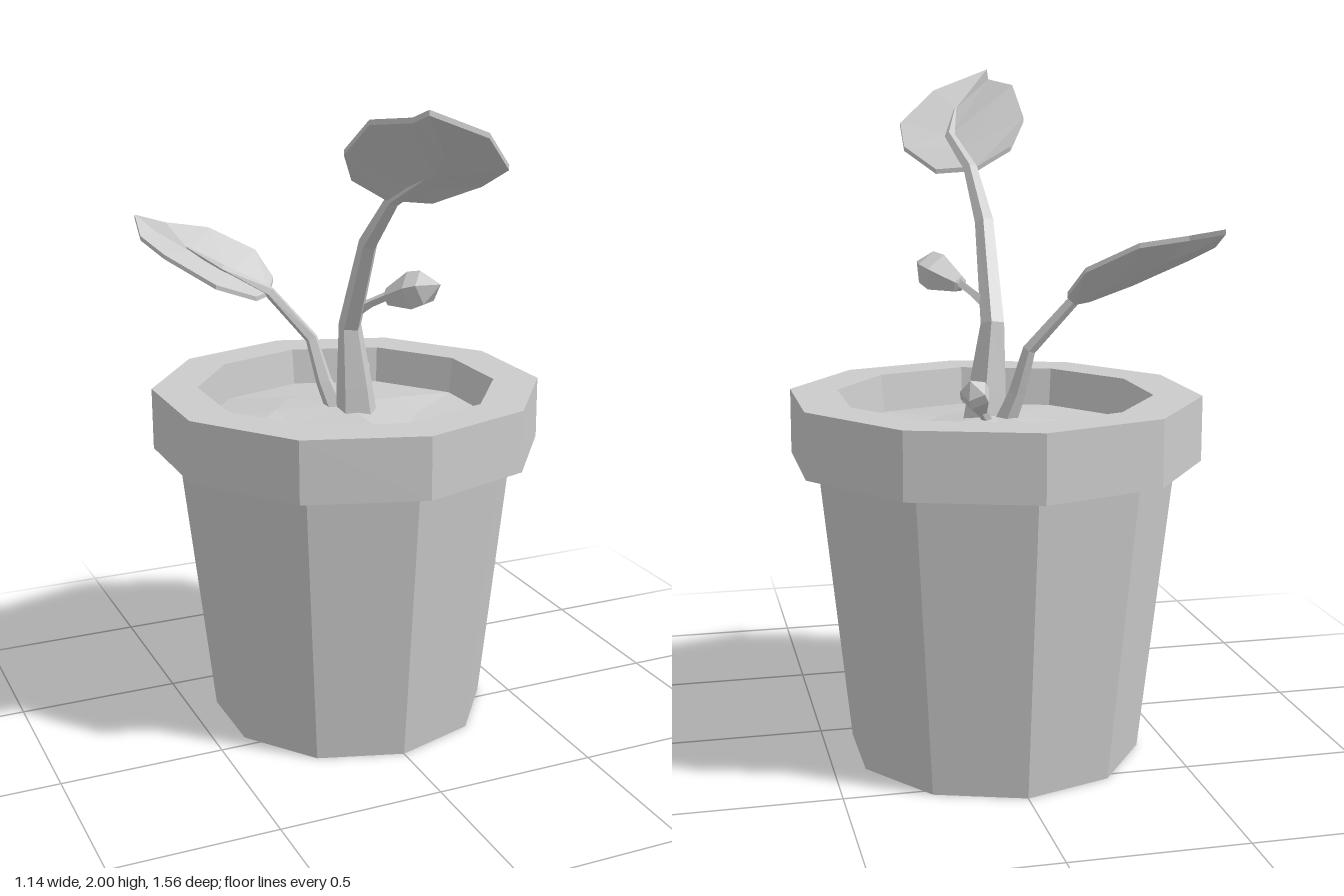
import * as THREE from 'three';

const material = new THREE.MeshStandardMaterial({ color: 0xcccccc, flatShading: true });
const V = (p) => new THREE.Vector3(p[0], p[1], p[2]);

function addMesh(parent, name, geometry) {
  const mesh = new THREE.Mesh(geometry, material);
  mesh.name = name;
  parent.add(mesh);
  return mesh;
}

function fromIndexed(positions, index) {
  const g = new THREE.BufferGeometry();
  g.setAttribute('position', new THREE.Float32BufferAttribute(positions, 3));
  g.setIndex(index);
  g.computeVertexNormals();
  return g;
}

// Faceted stalk through [x, y, z, radius] points, closed at both ends
function stalk(points, sides = 5) {
  const positions = [], index = [];
  const centres = points.map(V);
  const n = points.length;
  centres.forEach((c, i) => {
    const dir = centres[Math.min(i + 1, n - 1)].clone().sub(centres[Math.max(i - 1, 0)]).normalize();
    const side = new THREE.Vector3(1, 0, 0).addScaledVector(dir, -dir.x).normalize();
    const up = dir.clone().cross(side);
    for (let k = 0; k < sides; k++) {
      const a = (k / sides) * Math.PI * 2;
      const p = c.clone().addScaledVector(side, Math.cos(a) * points[i][3])
        .addScaledVector(up, Math.sin(a) * points[i][3]);
      positions.push(p.x, p.y, p.z);
    }
  });
  for (let i = 0; i < n - 1; i++) {
    for (let k = 0; k < sides; k++) {
      const a = i * sides + k, b = i * sides + (k + 1) % sides;
      index.push(a, b, a + sides, b, b + sides, a + sides);
    }
  }
  const last = (n - 1) * sides;
  for (let k = 1; k < sides - 1; k++) index.push(0, k + 1, k, last, last + k, last + k + 1);
  return fromIndexed(positions, index);
}

// Thin folded leaf: matching left edge, midrib and right edge rows, then a tip
function leaf(left, rib, right, tip, thickness = 0.014) {
  const rows = left.length, count = rows * 3 + 1, tipId = count - 1;
  const points = [];
  for (let i = 0; i < rows; i++) points.push(left[i], rib[i], right[i]);
  points.push(tip);
  const positions = [], index = [];
  for (const offset of [0, -thickness]) {
    for (const p of points) positions.push(p[0], p[1] + offset, p[2]);
  }
  const both = (a, b, c) => index.push(a, b, c, a + count, c + count, b + count);
  for (let i = 0; i < rows; i++) {
    for (let s = 0; s < 2; s++) {
      const a = i * 3 + s;
      if (i === rows - 1) both(a, tipId, a + 1);
      else {
        both(a, a + 3, a + 1);
        both(a + 1, a + 3, a + 4);
      }
    }
  }
  // Narrow wall round the outline
  const loop = [1, 0];
  for (let i = 1; i < rows; i++) loop.push(i * 3);
  loop.push(tipId);
  for (let i = rows - 1; i >= 0; i--) loop.push(i * 3 + 2);
  loop.forEach((a, i) => {
    const b = loop[(i + 1) % loop.length];
    index.push(a, a + count, b, b, a + count, b + count);
  });
  return fromIndexed(positions, index);
}

// Pointed bud lying along the line from start to end
function bud(parent, name, start, end, radius) {
  const a = V(start), axis = V(end).sub(a), length = axis.length();
  const profile = [[0, 0], [0.45, 0.06], [1, 0.5], [0.9, 0.72], [0, 1]]
    .map(([r, t]) => new THREE.Vector2(r * radius, t * length));
  const mesh = addMesh(parent, name, new THREE.LatheGeometry(profile, 5));
  mesh.position.copy(a);
  mesh.quaternion.setFromUnitVectors(new THREE.Vector3(0, 1, 0), axis.normalize());
}

export function createModel() {
  const model = new THREE.Group();
  const potZ = -0.18;

  // Ten-sided pot with overhanging rim and recessed underside
  const potProfile = [
    [0, 0.08], [0.3, 0.08], [0.36, 0], [0.43, 0], [0.526, 0.875], [0.6, 0.875],
    [0.6, 1.065], [0.46, 1.065], [0.445, 0.93],
  ].map(([r, y]) => new THREE.Vector2(r, y));
  addMesh(model, 'pot', new THREE.LatheGeometry(potProfile, 10)).position.z = potZ;

  // Gently mounded, uneven soil
  const soil = new THREE.LatheGeometry(
    [[0.452, 0.95], [0.22, 0.975], [0, 1.0]].map(([r, y]) => new THREE.Vector2(r, y)), 10);
  const pos = soil.attributes.position;
  for (let i = 0; i < pos.count; i++) {
    const x = pos.getX(i), z = pos.getZ(i), r = Math.hypot(x, z);
    if (r > 0.1 && r < 0.4) pos.setY(i, pos.getY(i) + 0.012 * Math.sin(x * 17 + z * 11));
  }
  addMesh(model, 'soil', soil).position.z = potZ;

  // Tall stem leaning forward, continuing as the midrib of its leaf
  addMesh(model, 'mainStem', stalk([
    [0.02, 0.94, -0.145, 0.07], [0.01, 1.07, -0.142, 0.057], [-0.006, 1.26, -0.138, 0.036],
    [-0.018, 1.54, 0.025, 0.029], [-0.01, 1.69, 0.18, 0.022], [0.015, 1.785, 0.37, 0.017],
    [-0.035, 1.87, 0.53, 0.004],
  ]));
  addMesh(model, 'mainLeaf', leaf(
    [[-0.13, 1.76, 0.16], [-0.195, 1.845, 0.26], [-0.205, 1.945, 0.45], [-0.165, 1.965, 0.62]],
    [[-0.03, 1.70, 0.175], [0.0, 1.745, 0.28], [0.01, 1.79, 0.39], [-0.04, 1.87, 0.55]],
    [[0.09, 1.69, 0.22], [0.16, 1.755, 0.38], [0.14, 1.825, 0.565], [0, 1.93, 0.715]],
    [-0.195, 2.0, 0.775]));

  // Short stem leaning back to the right
  addMesh(model, 'smallStem', stalk([
    [-0.02, 0.95, -0.19, 0.035], [-0.06, 1.07, -0.22, 0.026], [-0.085, 1.2, -0.257, 0.02],
    [-0.2, 1.345, -0.31, 0.018], [-0.33, 1.42, -0.37, 0.013], [-0.42, 1.48, -0.44, 0.004],
  ]));
  addMesh(model, 'smallLeaf', leaf(
    [[-0.16, 1.375, -0.385], [-0.19, 1.45, -0.46], [-0.32, 1.52, -0.525], [-0.45, 1.54, -0.555]],
    [[-0.2, 1.345, -0.32], [-0.31, 1.405, -0.36], [-0.41, 1.465, -0.44], [-0.485, 1.515, -0.54]],
    [[-0.26, 1.345, -0.265], [-0.385, 1.39, -0.275], [-0.505, 1.47, -0.4], [-0.55, 1.515, -0.49]],
    [-0.53, 1.56, -0.615]));

  // Two buds on short stalks
  addMesh(model, 'upperBudStalk', stalk([
    [0.0, 1.31, -0.11, 0.022], [0.035, 1.34, -0.07, 0.014], [0.07, 1.37, -0.02, 0.014],
  ], 4));
  bud(model, 'upperBud', [0.06, 1.36, -0.03], [0.17, 1.42, 0.12], 0.06);
  addMesh(model, 'lowerBudStalk', stalk([
    [0.01, 0.96, -0.19, 0.022], [0.035, 1.0, -0.225, 0.014], [0.06, 1.04, -0.26, 0.014],
  ], 4));
  bud(model, 'lowerBud', [0.05, 1.02, -0.245], [0.1, 1.125, -0.32], 0.045);

  return model;
}
